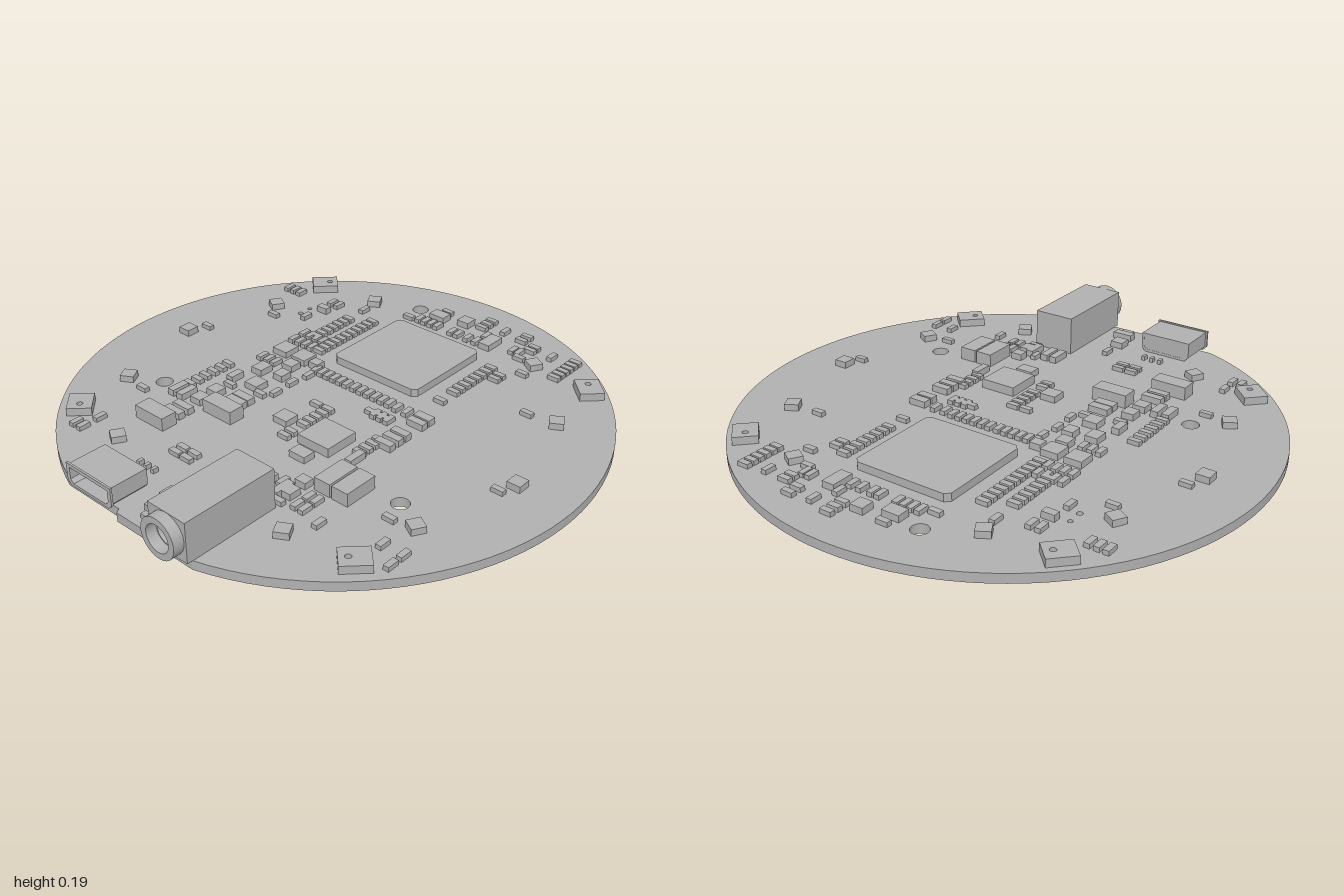
import * as THREE from 'three';

const TOP = 0.035; // upper face of the board
const CZ = -0.01; // centre of the round board

export function createModel() {
  const root = new THREE.Group();
  root.name = 'circuitBoard';
  const grey = new THREE.MeshStandardMaterial({ color: 0xb0b0b0 });
  grey.name = 'plain grey';

  const add = (geo, name, parent = root) => {
    const m = new THREE.Mesh(geo, grey);
    m.name = name;
    parent.add(m);
    return m;
  };
  const group = (name) => {
    const g = new THREE.Group();
    g.name = name;
    root.add(g);
    return g;
  };
  // Box standing on the board
  const chip = (name, parent, x, z, w, d, top = 0.052, turn = 0) => {
    const h = top - TOP;
    const m = add(new THREE.BoxGeometry(w, h, d), name, parent);
    m.position.set(x, TOP + h / 2, z);
    m.rotation.y = turn;
    return m;
  };
  // Plan outline (x, z) raised from y0 to y1
  const slab = (shape, y0, y1, seg = 12) => {
    const g = new THREE.ExtrudeGeometry(shape, { depth: y1 - y0, bevelEnabled: false, curveSegments: seg });
    return g.rotateX(Math.PI / 2).translate(0, y1, 0);
  };
  const hole = (shape, x, z, r) => shape.holes.push(new THREE.Path().absarc(x, z, r, 0, Math.PI * 2, true));

  // Round board with a stepped flat edge at the front
  const R = 0.99;
  const a0 = Math.acos(-0.34 / R), a1 = Math.acos(0.279 / R);
  const board = new THREE.Shape();
  for (let i = 0; i <= 96; i++) {
    const a = a0 + ((Math.PI * 2 - a0 + a1) * i) / 96;
    const x = R * Math.cos(a), z = CZ + R * Math.sin(a);
    if (i) board.lineTo(x, z); else board.moveTo(x, z);
  }
  board.lineTo(-0.07, 0.94);
  board.lineTo(-0.08, 0.922);
  board.closePath();
  [[-0.22, -0.78, 0.032], [-0.565, 0.31, 0.032], [0.56, 0.31, 0.032], [-0.565, -0.48, 0.009], [-0.565, -0.425, 0.011],
    [0.2, 0.67, 0.014], [0.2, 0.87, 0.014], [-0.255, 0.83, 0.009], [-0.145, 0.83, 0.009]]
    .forEach(([x, z, r]) => hole(board, x, z, r));
  add(slab(board, 0, TOP), 'board');

  // Main processor with clipped corners
  const cpu = new THREE.Shape();
  const s = 0.198, c = 0.018;
  [[-s + c, -s], [s - c, -s], [s, -s + c], [s, s - c], [s - c, s], [-s + c, s], [-s, s - c], [-s, -s + c]]
    .forEach(([x, z], i) => (i ? cpu.lineTo(x, z) : cpu.moveTo(x, z)));
  add(slab(cpu, TOP, 0.065), 'processor').position.z = -0.415;

  // Ring of twelve microphones
  const mics = group('microphones');
  for (let i = 0; i < 12; i++) {
    const a = (i * Math.PI) / 6;
    chip('microphone', mics, 0.785 * Math.cos(a), CZ + 0.785 * Math.sin(a), 0.052, 0.052, 0.06, -a);
  }

  // Diagonal corner sensors with a small port
  const corners = group('cornerSensors');
  for (let i = 0; i < 4; i++) {
    const a = Math.PI / 4 + (i * Math.PI) / 2;
    const sh = new THREE.Shape();
    sh.moveTo(-0.045, -0.052); sh.lineTo(0.045, -0.052); sh.lineTo(0.045, 0.052); sh.lineTo(-0.045, 0.052);
    sh.closePath();
    hole(sh, 0, i % 2 ? -0.018 : 0.02, 0.011);
    const m = add(slab(sh, TOP, 0.065), 'cornerSensor', corners);
    m.position.set(0.916 * Math.cos(a), 0, -0.018 + 0.916 * Math.sin(a));
    m.rotation.y = -a;
  }

  // Evenly spaced rows: x, z, count, step x, step z, width, depth
  const rows = group('passiveRows');
  const row = (x, z, n, dx, dz, w, d) => {
    for (let i = 0; i < n; i++) chip('passive', rows, x + dx * i, z + dz * i, w, d);
  };
  const H = [0.047, 0.022], V = [0.022, 0.047];
  row(-0.288, -0.55, 11, 0, 0.0315, ...H);
  row(-0.375, -0.505, 7, 0, 0.032, ...H);
  row(-0.425, -0.3, 4, 0.033, 0, ...V);
  row(-0.425, -0.24, 4, 0.033, 0, ...V);
  row(0.284, -0.565, 8, 0, 0.033, ...H);
  row(0.284, -0.255, 1, 0, 0, ...H);
  row(0.34, -0.54, 2, 0, 0.03, ...H);
  row(-0.195, -0.12, 6, 0.031, 0, ...V);
  row(-0.003, -0.12, 6, 0.033, 0, ...V);
  row(0.2, -0.115, 2, 0.045, 0, ...V);
  row(-0.16, -0.7, 4, 0.03, 0, ...V);
  row(0.003, -0.7, 2, 0.03, 0, ...V);
  row(0.08, -0.7, 2, 0.04, 0, ...V);
  row(0.5, -0.81, 6, 0, 0.029, ...H);
  row(0.07, -0.875, 3, 0, 0.034, ...H);
  row(0.25, -0.86, 2, 0, 0.04, ...H);
  row(0.32, -0.805, 2, 0, 0.03, ...H);
  row(0.27, -0.735, 2, 0.027, 0, ...V);
  row(-0.75, -0.555, 3, 0.033, 0, ...V);
  row(-0.52, -0.57, 2, 0.035, 0, ...V);
  row(-0.475, 0.07, 6, 0, 0.039, ...H);
  row(0.025, 0.06, 5, 0, 0.032, ...H);
  row(0.025, 0.25, 2, 0, 0.033, ...H);
  row(0.285, 0.09, 4, 0, 0.033, ...H);
  row(0.33, 0.485, 2, 0.033, 0, ...V);
  row(0.33, 0.54, 2, 0.033, 0, ...V);
  row(0.655, 0.51, 2, 0.08, 0, ...V);
  row(0.735, 0.57, 1, 0, 0, ...V);
  row(-0.175, 0.565, 2, 0.055, 0, ...H);
  row(-0.175, 0.6, 2, 0.055, 0, ...H);
  row(-0.575, 0.705, 2, 0.037, 0, ...V);
  row(0.15, -0.03, 2, 0.05, 0, ...H);
  row(0.17, -0.03, 3, 0.03, 0, ...V);
  row(-0.42, -0.06, 3, 0.035, 0, ...V);
  row(-0.22, 0.715, 3, 0.035, 0, 0.014, 0.022);

  // Single small passives, lying along x or along z
  const singles = group('smallPassives');
  [[-0.755, -0.085], [0.755, 0.055], [0.565, -0.39], [-0.63, -0.335], [-0.58, 0.4], [0.59, 0.4], [0.395, -0.61],
    [-0.11, -0.82], [-0.205, -0.685], [0.32, -0.7], [-0.03, 0.06], [-0.23, 0.145], [-0.36, 0.17], [0.27, 0.565],
    [0.03, 0.895]].forEach(([x, z]) => chip('passive', singles, x, z, ...H));
  [[-0.38, -0.61], [0.445, 0.565], [0, 0.68], [0.125, -0.76], [0.16, -0.84], [0.41, -0.79], [-0.52, -0.41],
    [-0.19, -0.07], [-0.2, 0.01], [-0.195, 0.1], [-0.54, 0.63], [0.21, 0.48]]
    .forEach(([x, z]) => chip('passive', singles, x, z, ...V));

  // Medium parts: x, z, width, depth
  const medium = group('mediumParts');
  [[0.17, -0.72, 0.05, 0.09], [-0.11, -0.765, 0.07, 0.05], [-0.505, -0.5, 0.05, 0.03], [-0.385, -0.15, 0.07, 0.07],
    [-0.29, -0.15, 0.07, 0.07], [-0.22, -0.145, 0.045, 0.04], [-0.285, -0.075, 0.05, 0.05], [-0.26, 0, 0.045, 0.05],
    [-0.35, 0.015, 0.05, 0.06], [-0.385, 0.12, 0.03, 0.06], [-0.285, 0.11, 0.06, 0.06], [-0.25, 0.21, 0.08, 0.035],
    [-0.25, 0.25, 0.08, 0.038], [-0.36, 0.24, 0.05, 0.05], [-0.365, 0.315, 0.05, 0.05], [-0.365, 0.395, 0.08, 0.03],
    [-0.365, 0.438, 0.08, 0.03], [-0.475, 0.32, 0.03, 0.075], [-0.43, 0.32, 0.03, 0.075]]
    .forEach(([x, z, w, d]) => chip('component', medium, x, z, w, d, 0.06));
  [[-0.045, 0.205, 0.065, 0.06], [0.15, 0.33, 0.07, 0.05], [0.32, -0.115, 0.07, 0.035], [0.32, -0.075, 0.07, 0.03],
    [0.32, 0.015, 0.07, 0.03], [0.32, 0.055, 0.07, 0.03], [0.32, 0.1, 0.07, 0.03], [0.3, 0.23, 0.028, 0.075],
    [0.265, 0.44, 0.045, 0.04], [0.13, 0.515, 0.03, 0.08], [0.17, 0.515, 0.03, 0.08], [0.24, 0.515, 0.03, 0.08],
    [0.27, 0.51, 0.045, 0.05], [0.025, 0.855, 0.08, 0.035]]
    .forEach(([x, z, w, d]) => chip('component', medium, x, z, w, d, 0.06));

  // Tall power parts
  const power = group('powerParts');
  chip('powerChip', power, 0.15, 0.205, 0.14, 0.14, 0.07);
  [[-0.24, 0.32, 0.14, 0.065], [-0.385, 0.505, 0.14, 0.065], [0.34, 0.37, 0.067, 0.135], [0.415, 0.37, 0.067, 0.135]]
    .forEach(([x, z, w, d]) => chip('inductor', power, x, z, w, d, 0.085));

  // Data socket: open shell with a flared mouth, back wall and tongue
  const socket = group('dataSocket');
  const outline = (P, w, y0, y1, k) => {
    const p = new P();
    [[-w + k, y0], [w - k, y0], [w, y0 + k], [w, y1], [-w, y1], [-w, y0 + k]]
      .forEach(([x, y], i) => (i ? p.lineTo(x, y) : p.moveTo(x, y)));
    p.closePath();
    return p;
  };
  const ring = (w, y0, y1, depth) => {
    const sh = outline(THREE.Shape, w, y0, y1, 0.016);
    sh.holes.push(outline(THREE.Path, 0.095, 0.045, 0.103, 0.014));
    return new THREE.ExtrudeGeometry(sh, { depth, bevelEnabled: false });
  };
  add(ring(0.104, 0.035, 0.112, 0.15), 'socketShell', socket).position.set(-0.2, 0, 0.788);
  add(ring(0.111, 0.034, 0.117, 0.008), 'socketRim', socket).position.set(-0.2, 0, 0.934);
  add(new THREE.BoxGeometry(0.19, 0.06, 0.02), 'socketBack', socket).position.set(-0.2, 0.074, 0.799);
  add(new THREE.BoxGeometry(0.13, 0.014, 0.11), 'socketTongue', socket).position.set(-0.2, 0.088, 0.855);

  // Audio jack: block with a stepped hollow barrel
  const jack = group('audioJack');
  const body = new THREE.Shape();
  body.moveTo(-0.082, -0.075); body.lineTo(0.082, -0.075); body.lineTo(0.082, 0.075); body.lineTo(-0.082, 0.075);
  body.closePath();
  hole(body, 0, 0, 0.046);
  add(new THREE.ExtrudeGeometry(body, { depth: 0.355, bevelEnabled: false, curveSegments: 24 }), 'jackBody', jack)
    .position.set(0.2, 0.11, 0.605);
  add(new THREE.BoxGeometry(0.164, 0.15, 0.016), 'jackBack', jack).position.set(0.2, 0.11, 0.598);
  const barrel = new THREE.Shape().absarc(0, 0, 0.074, 0, Math.PI * 2, false);
  hole(barrel, 0, 0, 0.05);
  add(new THREE.ExtrudeGeometry(barrel, { depth: 0.04, bevelEnabled: false, curveSegments: 24 }), 'jackBarrel', jack)
    .position.set(0.2, 0.11, 0.96);
  return root;
}
